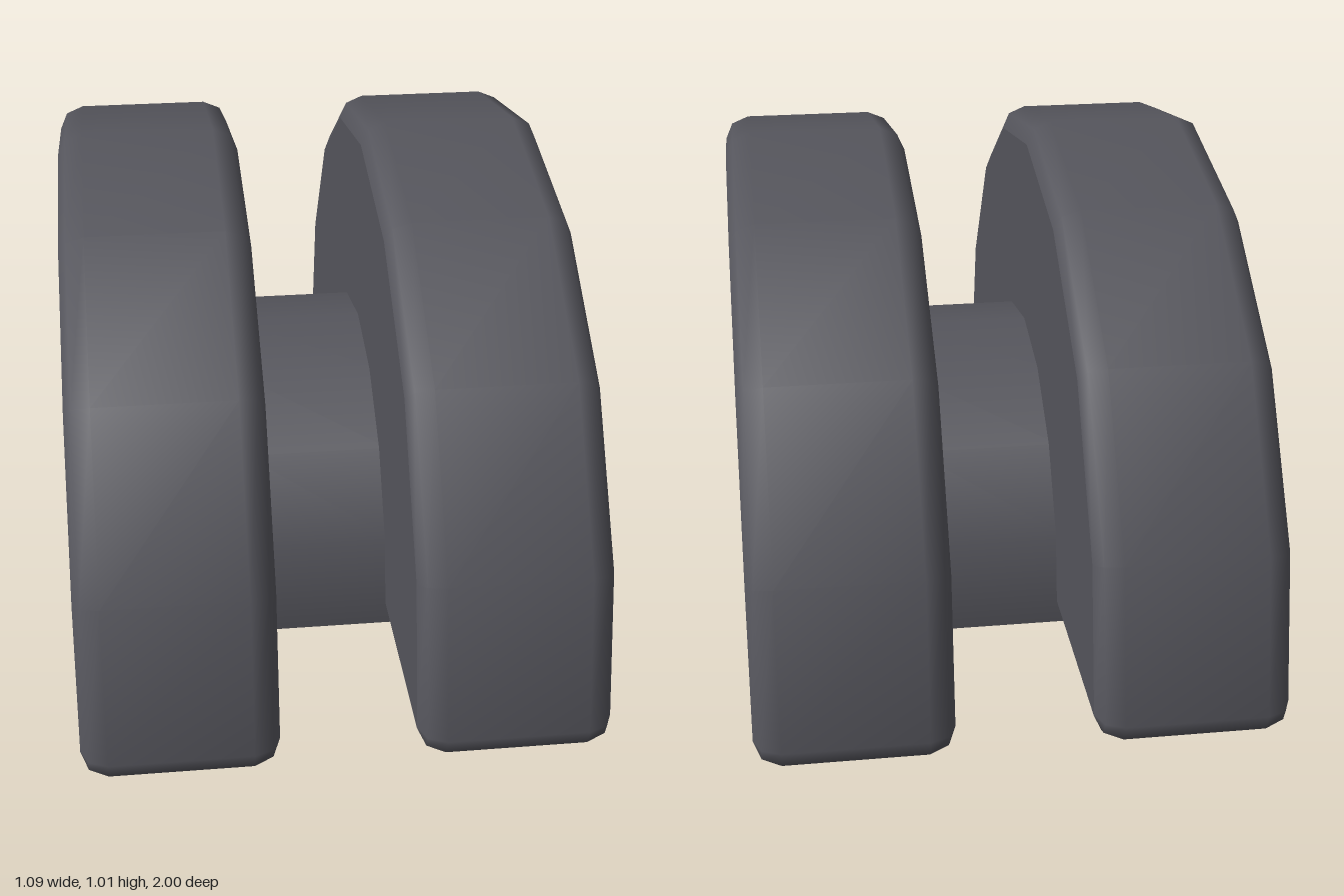
import * as THREE from 'three';

const BEVEL = 0.055, RADIUS = 1.01;

// Half-disc outline as [z, y], shrunk by an inset, with rounded bottom corners
function outline(inset) {
  const f = BEVEL - inset, r = RADIUS - inset, cz = 0.945;
  const half = [0, 1, 2].map((i) => {
    const a = (i * Math.PI) / 4;
    return [cz + f * Math.sin(a), BEVEL - f * Math.cos(a)];
  });
  for (let i = 1; i < 4; i++) {
    const a = (i * Math.PI) / 8;
    half.push([r * Math.cos(a), r * Math.sin(a)]);
  }
  const mirrored = half.map(([z, y]) => [-z, y]).reverse();
  return [...half, [0, r], ...mirrored];
}

// Bevelled half disc, lofted along x between -w/2 and w/2
function halfDisc(w) {
  const steps = [[0, 0.052], [0.016, 0.016], [BEVEL, 0]];
  const rings = [
    ...steps.map(([o, d]) => [-w / 2 + o, d]),
    ...steps.map(([o, d]) => [w / 2 - o, d]).reverse(),
  ];
  const pos = [], index = [];
  const addRing = ([x, d]) => outline(d).forEach(([z, y]) => pos.push(x, y, z));
  rings.forEach(addRing);
  const n = outline(0).length;
  for (let i = 0; i < rings.length - 1; i++) {
    for (let j = 0; j < n; j++) {
      const k = (j + 1) % n;
      const a = i * n + j, b = i * n + k, c = b + n, d = a + n;
      index.push(a, d, c, a, c, b);
    }
  }
  // Flat side faces with their own vertices
  const first = pos.length / 3;
  addRing(rings[0]);
  addRing(rings[rings.length - 1]);
  for (let j = 1; j < n - 1; j++) {
    index.push(first, first + j, first + j + 1);
    index.push(first + n, first + n + j + 1, first + n + j);
  }
  const geo = new THREE.BufferGeometry();
  geo.setAttribute('position', new THREE.Float32BufferAttribute(pos, 3));
  geo.setIndex(index);
  geo.computeVertexNormals();
  return geo;
}

export function createModel() {
  const group = new THREE.Group();
  const material = new THREE.MeshStandardMaterial({ color: 0x55555c });

  // Pair of half discs
  const discGeo = halfDisc(0.404);
  for (const side of [1, -1]) {
    const disc = new THREE.Mesh(discGeo, material);
    disc.name = side > 0 ? 'leftHalfDisc' : 'rightHalfDisc';
    disc.position.x = side * 0.343;
    group.add(disc);
  }

  // Half-round hub joining the discs
  const hub = new THREE.Group();
  hub.name = 'hub';
  const shell = new THREE.Mesh(
    new THREE.CylinderGeometry(0.52, 0.52, 0.32, 8, 1, true, 0, Math.PI), material);
  shell.name = 'hubShell';
  shell.rotation.z = Math.PI / 2;
  shell.position.y = 0.005;
  const base = new THREE.Mesh(new THREE.PlaneGeometry(0.32, 1.04), material);
  base.name = 'hubBase';
  base.rotation.x = Math.PI / 2;
  base.position.y = 0.005;
  hub.add(shell, base);
  group.add(hub);

  return group;
}
